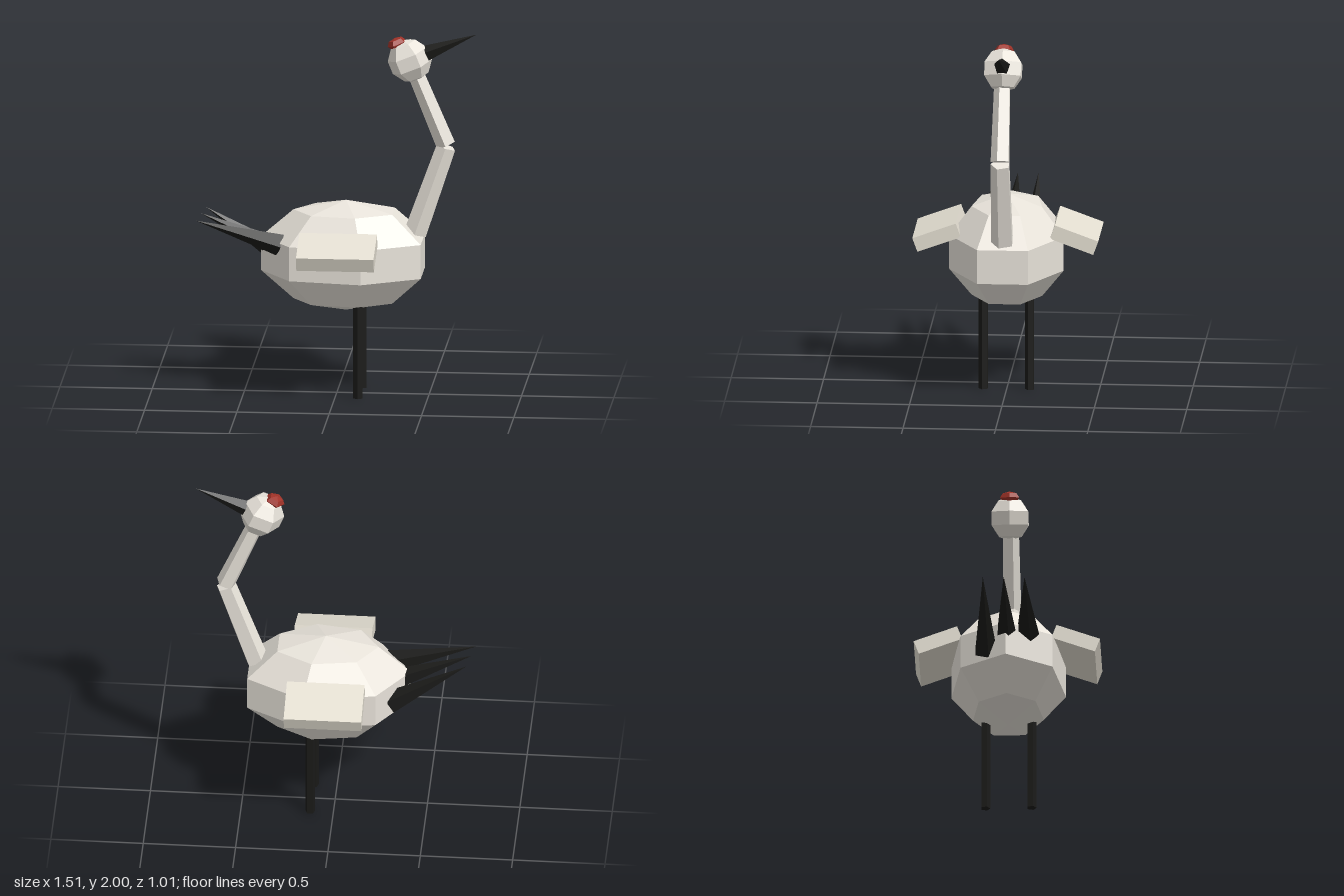
import * as THREE from 'three';

const mat = (color) => new THREE.MeshStandardMaterial({ color, flatShading: true });
const TILT = THREE.MathUtils.degToRad(22);

export function createModel() {
  const group = new THREE.Group();
  const plumage = mat(0xe8e3da), wingMat = mat(0xe4dfd2), dark = mat(0x1a1a18), red = mat(0xa03228);

  function add(name, geometry, material, x, y, z, rotZ = 0) {
    const mesh = new THREE.Mesh(geometry, material);
    mesh.name = name;
    mesh.position.set(x, y, z);
    mesh.rotation.z = rotZ;
    group.add(mesh);
    return mesh;
  }

  // Tapered five-sided tube between two points in the z = 0 plane
  function neckSegment(name, [x0, y0], [x1, y1], r0, r1) {
    const dx = x1 - x0, dy = y1 - y0;
    const geometry = new THREE.CylinderGeometry(r1, r0, Math.hypot(dx, dy), 5);
    add(name, geometry, plumage, (x0 + x1) / 2, (y0 + y1) / 2, 0, Math.atan2(-dx, dy));
  }

  // Faceted egg-shaped body
  add('body', new THREE.SphereGeometry(1, 7, 5), plumage, 0.05, 0.765, 0)
    .scale.set(0.485, 0.305, 0.334);

  // Neck in two bent segments
  neckSegment('lowerNeck', [0.425, 0.895], [0.592, 1.375], 0.064, 0.055);
  neckSegment('upperNeck', [0.592, 1.387], [0.425, 1.79], 0.055, 0.047);

  // Head, crown patch and beak share the same upward tilt
  add('head', new THREE.SphereGeometry(0.12, 6, 5), plumage, 0.395, 1.85, 0, TILT);
  add('crown', new THREE.SphereGeometry(0.055, 5, 4), red, 0.326, 1.943, 0, TILT).scale.y = 0.6;
  const beakLength = 0.29;
  add('beak', new THREE.ConeGeometry(0.045, beakLength, 5, 1, false, -Math.PI / 2), dark,
    0.755 - Math.cos(TILT) * beakLength / 2, 2 - Math.sin(TILT) * beakLength / 2, 0, TILT - Math.PI / 2);

  // Mirrored wings and legs
  for (const side of [1, -1]) {
    const name = side > 0 ? 'front' : 'back';
    add(name + 'Wing', new THREE.BoxGeometry(0.42, 0.08, 0.25), wingMat, 0.03, 0.865, side * 0.372)
      .rotation.x = side * 0.35;
    add(name + 'Leg', new THREE.CylinderGeometry(0.027, 0.027, 0.53, 5), dark, 0.125, 0.265, side * 0.125);
  }

  // Tail feathers: tip x, tip y, z, upward angle in degrees
  const length = 0.48;
  for (const [x, y, z, degrees] of [
    [-0.755, 0.965, 0.113, 15],
    [-0.737, 0.98, 0, 23],
    [-0.717, 0.987, -0.113, 32],
  ]) {
    const a = THREE.MathUtils.degToRad(degrees);
    add('tailFeather', new THREE.ConeGeometry(0.065, length, 5), dark,
      x + Math.cos(a) * length / 2, y - Math.sin(a) * length / 2, z, Math.PI / 2 - a);
  }

  return group;
}
